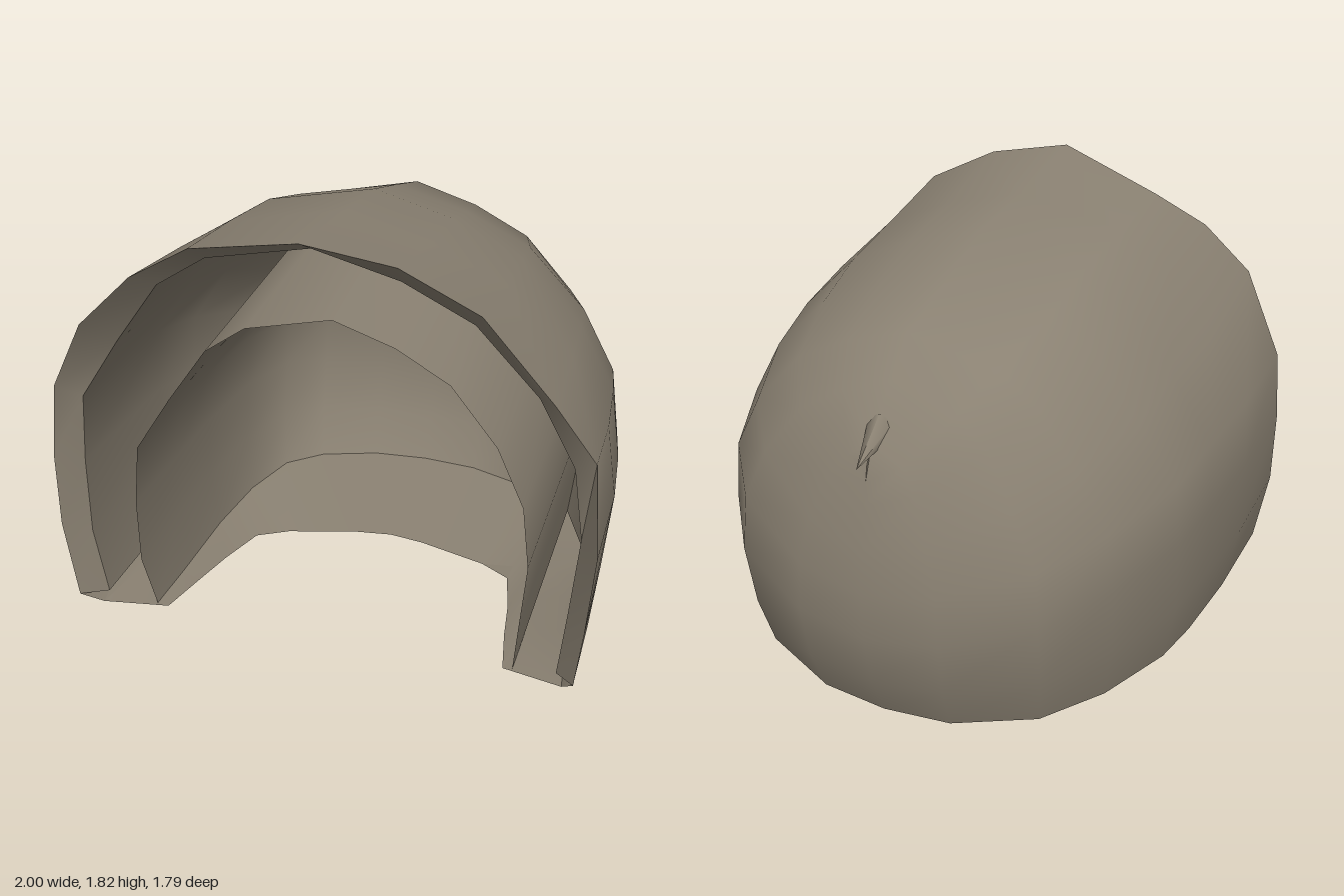
import * as THREE from 'three';
import { toCreasedNormals } from 'three/addons/utils/BufferGeometryUtils.js';

// Arch profile from right foot over the crown to left foot: [x, y, z of the ragged front edge]
const ARCH = [
  [-0.95, 0.25, 0.81], [-1.0, 0.55, 0.80], [-1.0, 0.84, 0.80], [-0.98, 1.12, 0.78],
  [-0.81, 1.42, 0.86], [-0.63, 1.60, 0.82], [-0.43, 1.71, 0.78], [0, 1.82, 0.89],
  [0.31, 1.76, 0.85], [0.58, 1.62, 0.83], [0.82, 1.32, 0.79], [0.96, 1.12, 0.77],
  [1.0, 0.84, 0.89], [0.97, 0.50, 0.85], [0.94, 0.25, 0.81],
];

// Sections as [foot y, foot z, crown y, crown z, half width, backward bulge]
const OUTER = [
  [0.22, 0.42, 1.76, 0.42, 0.985, 0],
  [0.20, 0.10, 1.72, 0.08, 0.95, 0],
  [0.19, -0.10, 1.64, -0.20, 0.91, 0.02],
  [0.18, -0.40, 1.55, -0.50, 0.78, 0.05],
  [0.16, -0.62, 1.43, -0.64, 0.60, 0.10],
  [0.12, -0.74, 1.26, -0.78, 0.28, 0.11],
  [0.11, -0.76, 1.19, -0.82, 0, 0.11],
];
// Inside of the shell, running back behind the lining
const GAP = [
  [0.22, 0.72, 1.74, 0.72, 0.92, 0],
  [0.22, 0.10, 1.69, 0.08, 0.91, 0],
  [0.21, -0.10, 1.61, -0.20, 0.87, 0.02],
  [0.20, -0.38, 1.47, -0.48, 0.75, 0.04],
];
const LINING = [
  [0.15, 0.66, 1.42, 0.58, 0.74, -0.07],
  [0.15, 0.35, 1.42, 0.30, 0.735, 0],
  [0.15, 0.05, 1.41, 0.00, 0.73, 0],
  [0.15, -0.25, 1.38, -0.35, 0.70, 0.05],
  [0.16, -0.48, 1.33, -0.58, 0.62, 0.09],
  [0.16, -0.60, 1.26, -0.68, 0.48, 0.11],
  [0.16, -0.68, 1.18, -0.73, 0.24, 0.11],
  [0.16, -0.70, 1.14, -0.76, 0, 0.11],
];
// Lowest line of the underside and edge of the neck opening, left half from front to back
const RIDGE = [
  [0.89, 0.18, 0.74], [0.85, 0.17, 0.42], [0.79, 0.15, 0.15], [0.70, 0.12, -0.05],
  [0.54, 0.09, -0.16], [0.37, 0.05, -0.25], [0.20, 0, -0.32], [0, 0, -0.34],
];
const NECK = [
  [0.66, 0.15, 0.66], [0.62, 0.14, 0.45], [0.59, 0.12, 0.25], [0.54, 0.10, 0.03],
  [0.42, 0.10, -0.04], [0.28, 0.10, -0.08], [0.14, 0.10, -0.12], [0, 0.10, -0.14],
];

function section([y0, z0, y1, z1, w, bulge]) {
  return ARCH.map(([x, y], i) => {
    const s = ((y + ARCH[ARCH.length - 1 - i][1]) / 2 - 0.25) / 1.57;
    const back = bulge * Math.sin(Math.PI * Math.pow(s, 0.8));
    return [x * w, y0 + (y1 - y0) * s, z0 + (z1 - z0) * s - back];
  });
}

// Surface through rows of points
function loft(rows, crease) {
  const n = rows[0].length, index = [];
  for (let r = 0; r < rows.length - 1; r++) {
    for (let i = 0; i < n - 1; i++) {
      const a = r * n + i, b = a + n;
      index.push(a, a + 1, b, a + 1, b + 1, b);
    }
  }
  const g = new THREE.BufferGeometry();
  g.setAttribute('position', new THREE.Float32BufferAttribute(rows.flat(2), 3));
  g.setIndex(index);
  return toCreasedNormals(g, crease);
}

export function createModel() {
  const group = new THREE.Group();
  const material = new THREE.MeshStandardMaterial({ color: 0x8a8172, side: THREE.DoubleSide });
  const add = (name, geometry) => {
    const mesh = new THREE.Mesh(geometry, material);
    mesh.name = name;
    group.add(mesh);
    return mesh;
  };

  const outer = [ARCH, ...OUTER.map(section)];
  const gap = GAP.map(section);
  const lining = LINING.map(section);

  // Shell, front rim, gap behind the rim and hollow lining
  add('outerShell', loft(outer, 0.9));
  add('frontRim', loft([gap[0], outer[0]], 0.6));
  add('liningGap', loft([lining[0], ...[...gap].reverse()], 0.6));
  add('innerLining', loft([...lining].reverse(), 0.7));

  // Underside and inner floor around the neck opening
  const feet = (rows) => [
    ...rows.map((r) => r[0]),
    ...rows.slice(0, -1).reverse().map((r) => r[r.length - 1]),
  ];
  const mirror = (points) => points.map(([x, y, z]) => [[-x, y, z], [x, y, z]]);
  add('lowerRim', loft([outer, mirror(RIDGE), mirror(NECK), lining].map(feet), 0.7));

  // Small pointed tab on the back
  const from = new THREE.Vector3(0, 1.29, -0.70);
  const tip = new THREE.Vector3(0, 1.21, -0.89);
  const dir = tip.clone().sub(from);
  const tab = add('backTab', new THREE.ConeGeometry(0.055, dir.length(), 6));
  tab.position.copy(from).add(tip).multiplyScalar(0.5);
  tab.quaternion.setFromUnitVectors(new THREE.Vector3(0, 1, 0), dir.normalize());

  return group;
}
